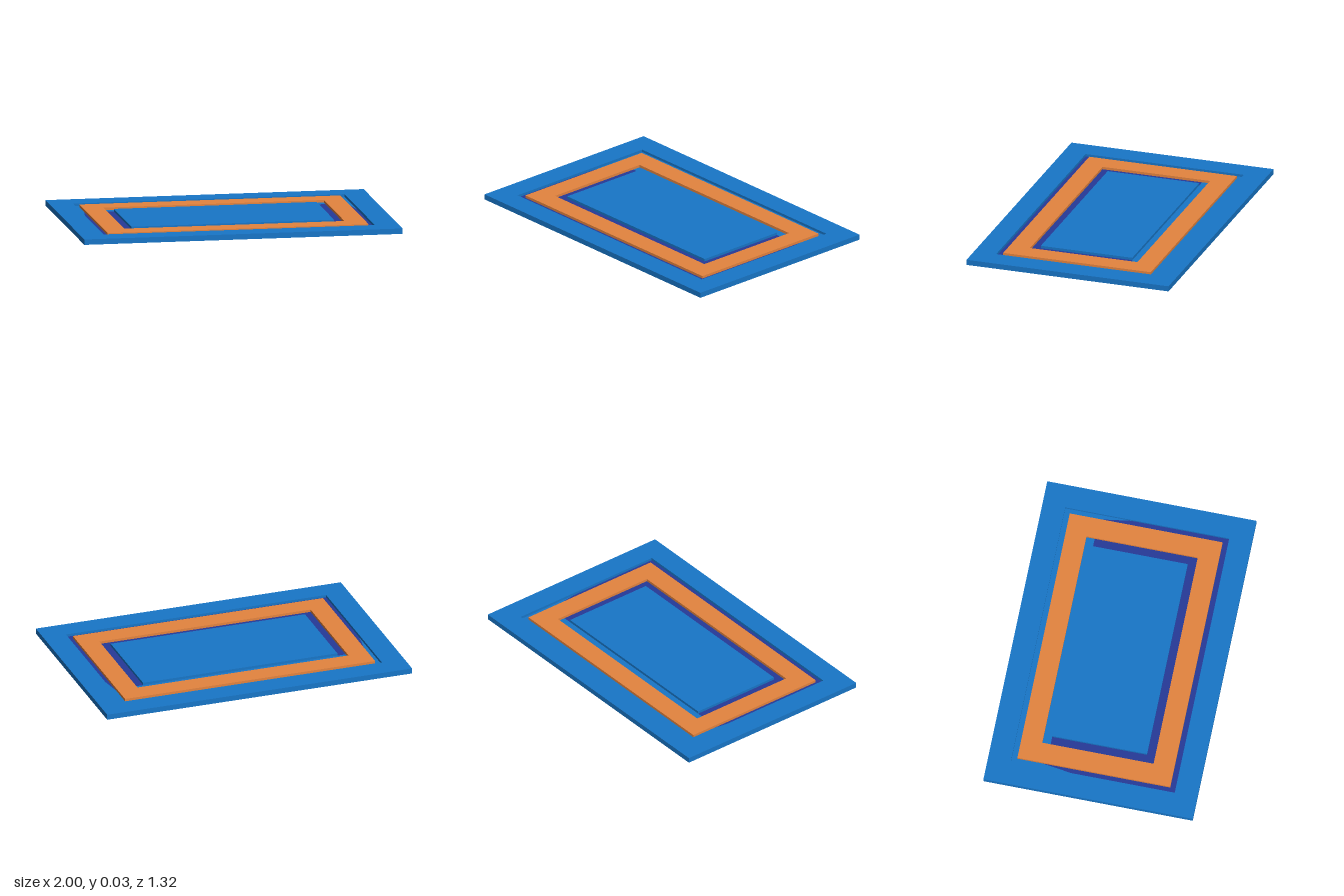
import * as THREE from 'three';

const T = 0.034; // height of the top surface
const FLOOR = 0.018; // height of the groove floors

const mat = (name, color) => {
  const m = new THREE.MeshStandardMaterial({ color, side: THREE.DoubleSide });
  m.name = name;
  return m;
};

function addMesh(group, name, geometry, material) {
  const mesh = new THREE.Mesh(geometry, material);
  mesh.name = name;
  group.add(mesh);
}

// Horizontal sheet facing up, from [x, z] outlines
function sheet(outline, y, hole) {
  const toPoints = (pts) => pts.map(([x, z]) => new THREE.Vector2(x, -z));
  const shape = new THREE.Shape(toPoints(outline));
  if (hole) shape.holes.push(new THREE.Path(toPoints(hole)));
  return new THREE.ShapeGeometry(shape).rotateX(-Math.PI / 2).translate(0, y, 0);
}

const rect = ([w, d]) => [[-w, d], [w, d], [w, -d], [-w, -d]];

// Four upright walls around a rectangle of half sizes w and d, from y0 to the top
function walls([w, d], y0) {
  const geo = new THREE.CylinderGeometry(Math.SQRT2, Math.SQRT2, 1, 4, 1, true, Math.PI / 4)
    .scale(w, T - y0, d)
    .translate(0, (T + y0) / 2, 0)
    .toNonIndexed();
  geo.computeVertexNormals();
  return geo;
}

export function createModel() {
  const group = new THREE.Group();
  group.name = 'panel';
  const blue = mat('blue', 0x1876c8);
  const orange = mat('orange', 0xe4843f);
  const purple = mat('purple', 0x263a98);

  // Raised fields, open underneath: frame, band and centre
  const fields = [
    { name: 'outerFrame', material: blue, outer: [1, 0.66], inner: [0.853, 0.517], base: 0 },
    { name: 'middleBand', material: orange, outer: [0.82, 0.482], inner: [0.692, 0.351], base: FLOOR },
    { name: 'centreField', material: blue, outer: [0.637, 0.299], base: FLOOR },
  ];
  for (const { name, material, outer, inner, base } of fields) {
    addMesh(group, name + 'Top', sheet(rect(outer), T, inner && rect(inner)), material);
    addMesh(group, name + 'OuterWalls', walls(outer, base), material);
    if (inner) addMesh(group, name + 'InnerWalls', walls(inner, FLOOR), material);
  }

  // Groove floors: blue at the back, purple at the front and along the sides;
  // split gives where the colour changes at the inner and outer edge of a side
  const grooves = [
    { name: 'outerGroove', x: [0.82, 0.853], z: [0.482, 0.517], split: [-0.32, -0.1] },
    { name: 'innerGroove', x: [0.637, 0.692], z: [0.299, 0.351], split: [-0.299, -0.299] },
  ];
  for (const { name, x: [xi, xo], z: [zi, zo], split: [si, so] } of grooves) {
    addMesh(group, name + 'Back', sheet([[-xo, -zi], [xo, -zi], [xo, -zo], [-xo, -zo]], FLOOR), blue);
    addMesh(group, name + 'Front', sheet([[-xo, zo], [xo, zo], [xo, zi], [-xo, zi]], FLOOR), purple);
    for (const [side, s] of [['Left', 1], ['Right', -1]]) {
      addMesh(group, name + side, sheet([[s * xi, zi], [s * xo, zi], [s * xo, so], [s * xi, si]], FLOOR), purple);
      if (si > -zi) {
        addMesh(group, name + side + 'Rear', sheet([[s * xi, si], [s * xo, so], [s * xo, -zi], [s * xi, -zi]], FLOOR), blue);
      }
    }
  }
  return group;
}
